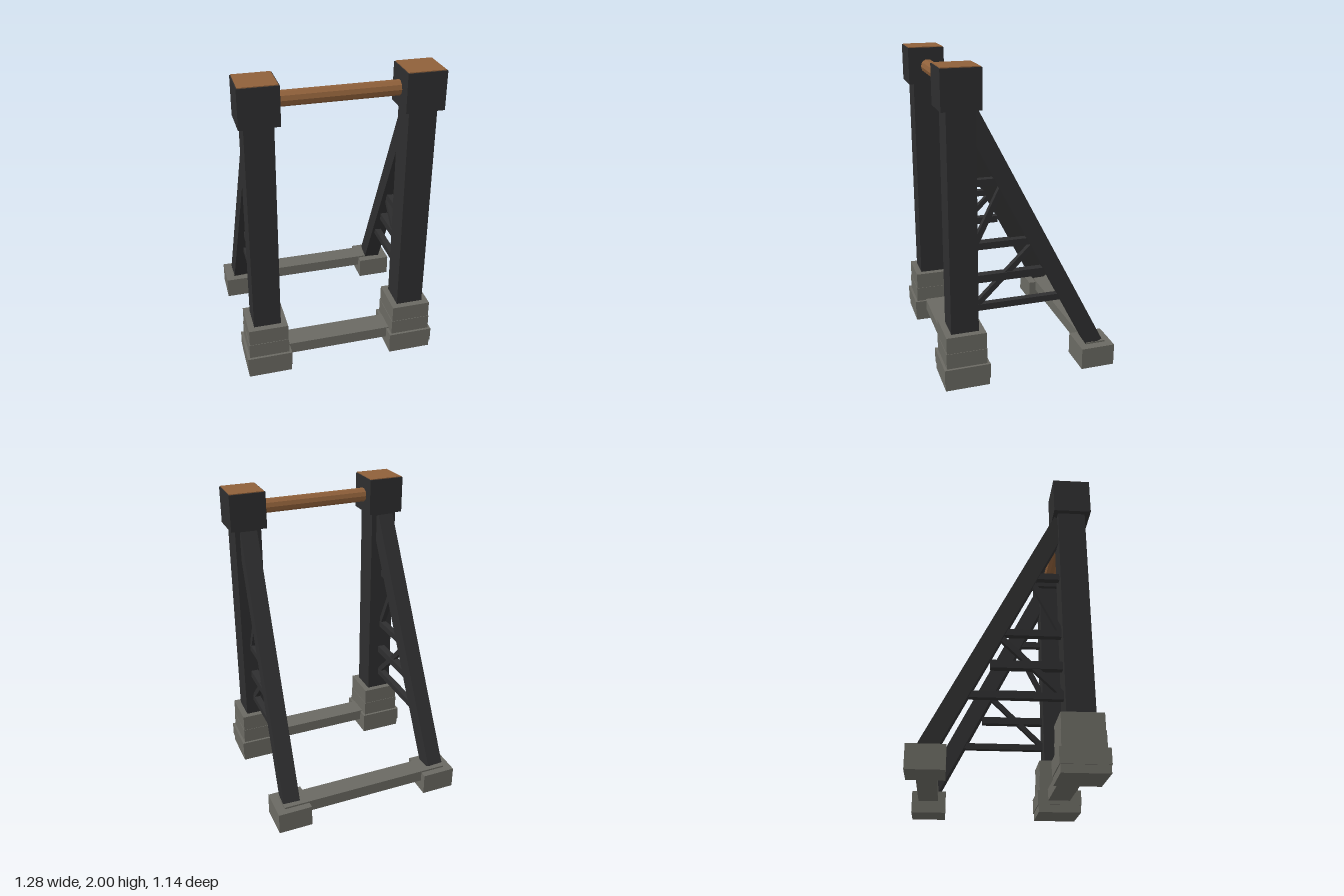
import * as THREE from 'three';

const mat = (name, color) => {
  const m = new THREE.MeshStandardMaterial({ color });
  m.name = name;
  return m;
};

export function createModel() {
  const iron = mat('black iron', 0x2e2e2f);
  const stone = mat('grey stone', 0x6a6962);
  const wood = mat('brown wood', 0x8f603a);
  const model = new THREE.Group();
  model.name = 'frame';

  const add = (parent, name, geometry, material, x, y, z) => {
    const mesh = new THREE.Mesh(geometry, material);
    mesh.name = name;
    mesh.position.set(x, y, z);
    parent.add(mesh);
    return mesh;
  };
  // Box spanning y0..y1, centred on x and z
  const block = (parent, name, material, w, d, y0, y1, x, z) =>
    add(parent, name, new THREE.BoxGeometry(w, y1 - y0, d), material, x, (y0 + y1) / 2, z);
  // Square bar running between two points
  const bar = (parent, name, a, b, t) => {
    const p = new THREE.Vector3(...a), q = new THREE.Vector3(...b);
    const mid = p.clone().add(q).multiplyScalar(0.5);
    const mesh = add(parent, name, new THREE.BoxGeometry(t, t, p.distanceTo(q)), iron, mid.x, mid.y, mid.z);
    mesh.lookAt(q);
  };

  for (const s of [-1, 1]) {
    const side = new THREE.Group();
    side.name = s > 0 ? 'leftSide' : 'rightSide';
    model.add(side);
    const x = s * 0.487, z = 0.422;

    // Stacked stone plinth: width, bottom, top
    [[0.285, 0, 0.05], [0.295, 0.05, 0.148], [0.262, 0.148, 0.25], [0.256, 0.25, 0.36]].forEach(
      ([w, y0, y1], i) => block(side, 'plinthSlab' + (i + 1), stone, w, w, y0, y1, x, z));

    // Post with its capped head
    block(side, 'post', iron, 0.176, 0.176, 0.35, 1.77, x, z);
    block(side, 'postHead', iron, 0.24, 0.24, 1.755, 1.995, x, z + 0.003);
    block(side, 'headPlate', wood, 0.228, 0.228, 1.993, 2, x, z + 0.003);

    // Rear foot and raking brace
    block(side, 'rearFoot', stone, 0.226, 0.226, 0, 0.145, s * 0.527, -0.457);
    bar(side, 'brace', [s * 0.527, 0.145, -0.457], [s * 0.487, 1.722, 0.36], 0.11);

    // Lattice between post and brace: height, far end, thickness
    for (const [y, end, t] of [[1.303, 0.15, 0.043], [0.9, -0.04, 0.043], [0.685, -0.1, 0.05], [0.49, -0.24, 0.042]])
      bar(side, 'strut', [s * 0.5, y, 0.36], [s * 0.5, y, end], t);
    bar(side, 'upperDiagonal', [s * 0.5, 0.9, 0.34], [s * 0.5, 1.28, 0.155], 0.035);
    bar(side, 'lowerDiagonal', [s * 0.5, 0.49, 0.345], [s * 0.5, 0.89, -0.06], 0.035);
  }

  // Ground beams
  block(model, 'frontBeam', stone, 0.9, 0.146, 0.078, 0.156, 0, 0.418);
  block(model, 'rearBeam', stone, 1.17, 0.13, 0.078, 0.156, 0, -0.46);

  // Ten-sided crossbar between the heads
  const rod = new THREE.CylinderGeometry(0.047, 0.047, 0.9, 10).rotateZ(Math.PI / 2).toNonIndexed();
  rod.computeVertexNormals();
  add(model, 'crossbar', rod, wood, 0, 1.872, 0.416);

  return model;
}
